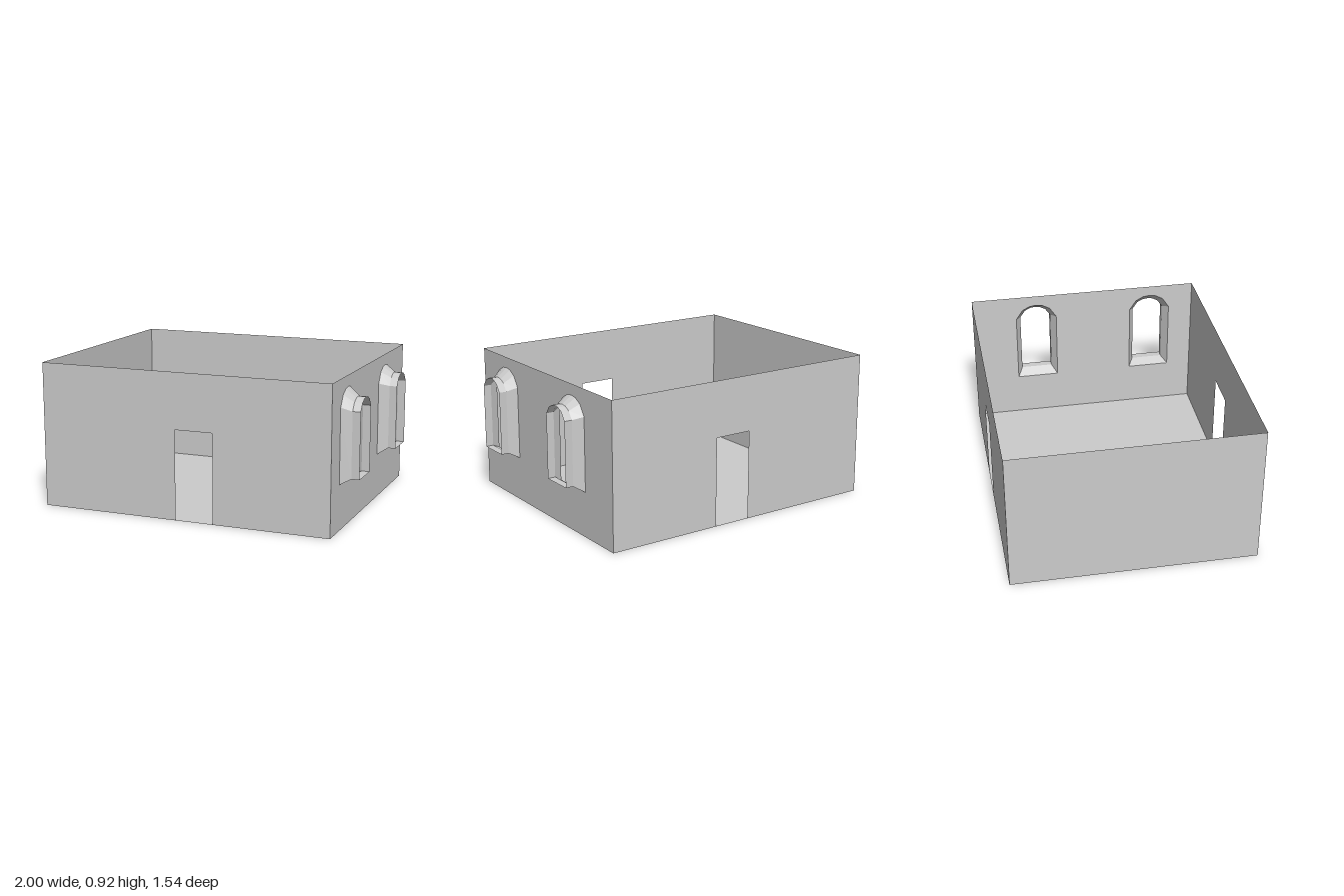
import * as THREE from 'three';

const X0 = -1, X1 = 0.888, Z = 0.772, H = 0.92; // room extents
const material = new THREE.MeshStandardMaterial({ color: 0xcccccc, flatShading: true, side: THREE.DoubleSide });

// Right half of an arch, in units of half width and rise
const ARCH = [[1, 0], [0.68, 0.67], [0.32, 0.94], [0, 1]];

// Counter-clockwise outline of an arched window (u = horizontal, v = height)
function archOutline(u, halfWidth, bottom, spring, top) {
  const point = ([a, b], side) => new THREE.Vector2(u + side * a * halfWidth, spring + b * (top - spring));
  return [
    new THREE.Vector2(u - halfWidth, bottom),
    new THREE.Vector2(u + halfWidth, bottom),
    ...ARCH.map(p => point(p, 1)),
    ...ARCH.slice(0, -1).reverse().map(p => point(p, -1)),
  ];
}

function rectangle(x0, x1, y0, y1) {
  return [[x0, y0], [x1, y0], [x1, y1], [x0, y1]].map(p => new THREE.Vector2(...p));
}

// Skin between matching outlines placed at successive x positions
function loft(sections) {
  const positions = [];
  for (let s = 0; s < sections.length - 1; s++) {
    const [a, b] = [sections[s], sections[s + 1]];
    const n = a.outline.length;
    for (let i = 0; i < n; i++) {
      const j = (i + 1) % n;
      const corners = [[a, i], [a, j], [b, j], [a, i], [b, j], [b, i]];
      for (const [c, k] of corners) positions.push(c.x, c.outline[k].y, -c.outline[k].x);
    }
  }
  const geometry = new THREE.BufferGeometry();
  geometry.setAttribute('position', new THREE.Float32BufferAttribute(positions, 3));
  geometry.computeVertexNormals();
  return geometry;
}

export function createModel() {
  const group = new THREE.Group();
  const add = (name, geometry) => {
    const mesh = new THREE.Mesh(geometry, material);
    mesh.name = name;
    group.add(mesh);
    return mesh;
  };

  // Floor
  const floor = add('floor', new THREE.PlaneGeometry(X1 - X0, 2 * Z));
  floor.rotation.x = Math.PI / 2;
  floor.position.x = (X0 + X1) / 2;

  // Front and back walls, each with a doorway down to the floor
  const doorWall = new THREE.Shape([
    [X0, 0], [-0.1, 0], [-0.1, 0.567], [0.145, 0.567], [0.145, 0], [X1, 0], [X1, H], [X0, H],
  ].map(p => new THREE.Vector2(...p)));
  add('frontWall', new THREE.ShapeGeometry(doorWall)).position.z = Z;
  add('backWall', new THREE.ShapeGeometry(doorWall)).position.z = -Z;

  // Plain wall at -x
  const plainWall = add('plainWall', new THREE.ShapeGeometry(new THREE.Shape(rectangle(-Z, Z, 0, H))));
  plainWall.rotation.y = -Math.PI / 2;
  plainWall.position.x = X0;

  // Wall at +x with two arched windows
  const windowShape = new THREE.Shape(rectangle(-Z, Z, 0, H));
  const windows = [
    { name: 'frontWindowSurround', z: 0.47, lift: 0 },
    { name: 'backWindowSurround', z: -0.332, lift: 0.008 },
  ];
  for (const { name, z, lift } of windows) {
    const outer = archOutline(-z, 0.14, 0.285, 0.75, 0.851);
    const inner = archOutline(-z, 0.105, 0.317 + lift, 0.725 + lift, 0.797 + lift);
    windowShape.holes.push(new THREE.Path(outer));
    // Splayed frame narrowing into a straight open sleeve
    add(name, loft([
      { x: X1, outline: outer },
      { x: 0.95, outline: inner },
      { x: 1, outline: inner },
    ]));
  }
  const windowWall = add('windowWall', new THREE.ShapeGeometry(windowShape));
  windowWall.rotation.y = Math.PI / 2;
  windowWall.position.x = X1;

  return group;
}
